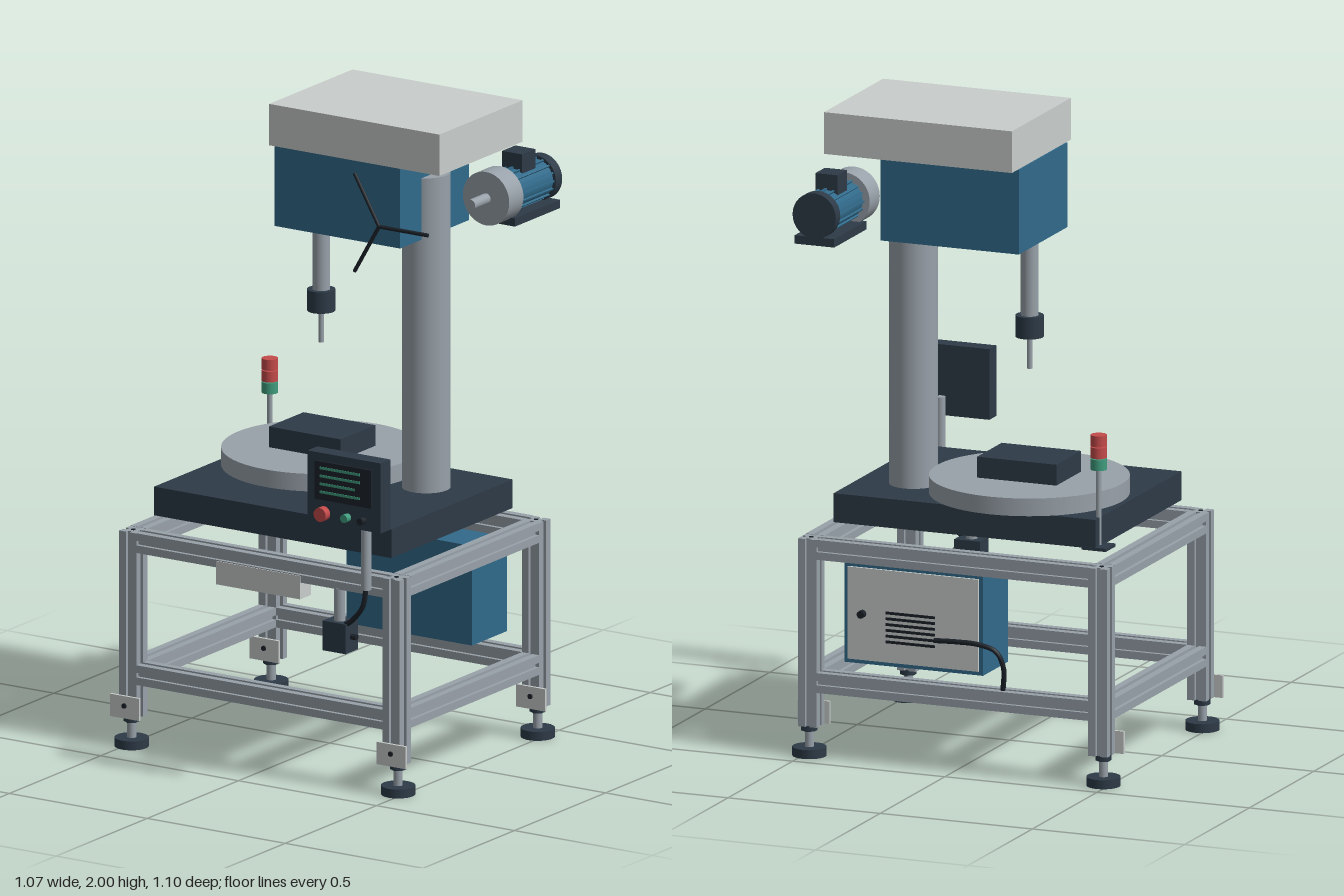
import * as THREE from 'three';

const paint = (name, color) => {
  const m = new THREE.MeshStandardMaterial({ color });
  m.name = name;
  return m;
};

export function createModel() {
  const root = new THREE.Group();
  root.name = 'drillingStation';
  const steel = paint('steel grey', 0x98a1a9);
  const light = paint('light grey', 0xc9cecc);
  const dark = paint('dark slate', 0x2d3a47);
  const blue = paint('machine blue', 0x316a8a);
  const black = paint('black', 0x1b2229);
  const red = paint('signal red', 0xc44a4a);
  const green = paint('signal green', 0x3f9c7c);

  const add = (name, geo, mat, x = 0, y = 0, z = 0, parent = root) => {
    const m = new THREE.Mesh(geo, mat);
    m.name = name;
    m.position.set(x, y, z);
    parent.add(m);
    return m;
  };
  // Box given by its limits on each axis
  const box = (name, mat, x0, x1, y0, y1, z0, z1, parent) =>
    add(name, new THREE.BoxGeometry(x1 - x0, y1 - y0, z1 - z0), mat,
      (x0 + x1) / 2, (y0 + y1) / 2, (z0 + z1) / 2, parent);
  // Upright cylinder from y0 to y1
  const post = (name, mat, x, z, r, y0, y1, seg = 32, parent) =>
    add(name, new THREE.CylinderGeometry(r, r, y1 - y0, seg), mat, x, (y0 + y1) / 2, z, parent);
  // Cylinder lying along z
  const axle = (name, mat, x, y, r, z0, z1, seg = 32, parent) => {
    const m = add(name, new THREE.CylinderGeometry(r, r, z1 - z0, seg), mat, x, y, (z0 + z1) / 2, parent);
    m.rotation.x = Math.PI / 2;
    return m;
  };
  const cable = (name, r, pts) => add(name, new THREE.TubeGeometry(
    new THREE.CatmullRomCurve3(pts.map(p => new THREE.Vector3(...p))), 32, r, 8), black);

  // Slotted square profile used for all frame members
  const h = 0.031, s = 0.007, d = 0.012;
  const section = new THREE.Shape();
  const side = [[-h, -h], [-s, -h], [-s, -h + d], [s, -h + d], [s, -h]];
  for (let k = 0; k < 4; k++) {
    const c = Math.round(Math.cos(k * Math.PI / 2)), n = Math.round(Math.sin(k * Math.PI / 2));
    side.forEach(([x, y], i) => {
      const px = x * c - y * n, py = x * n + y * c;
      if (k + i === 0) section.moveTo(px, py); else section.lineTo(px, py);
    });
  }
  section.closePath();
  const frame = new THREE.Group();
  frame.name = 'frame';
  root.add(frame);
  const beam = (name, axis, len, x, y, z) => {
    const g = new THREE.ExtrudeGeometry(section, { depth: len, bevelEnabled: false });
    g.translate(0, 0, -len / 2);
    if (axis === 'x') g.rotateY(Math.PI / 2);
    if (axis === 'y') g.rotateX(Math.PI / 2);
    return add(name, g, steel, x, y, z, frame);
  };
  const LX = 0.477, ZF = 0.355, ZB = -0.41, ZM = (ZF + ZB) / 2;
  for (const y of [0.65, 0.235]) {
    for (const z of [ZF, ZB]) beam('crossRail', 'x', 2 * (LX - h), 0, y, z);
    for (const x of [-LX, LX]) beam('sideRail', 'z', ZF - ZB - 2 * h, x, y, ZM);
  }
  // Legs with brackets, levelling stems and feet
  for (const x of [-LX, LX]) for (const z of [ZF, ZB]) {
    beam('leg', 'y', 0.585, x, 0.3875, z);
    post('legCapBolt', black, x, z, 0.007, 0.672, 0.682, 12, frame);
    const fx = x + Math.sign(x) * 0.006;
    box('footBracket', light, fx - 0.053, fx + 0.053, 0.095, 0.165, z + h, z + h + 0.009, frame);
    axle('bracketBolt', black, fx, 0.135, 0.008, z + h, z + h + 0.014, 12, frame);
    post('footStem', steel, fx, z, 0.014, 0.02, 0.1, 16, frame);
    post('footNut', dark, fx, z, 0.025, 0.078, 0.094, 6, frame);
    post('footPad', dark, fx, z, 0.052, 0, 0.028, 32, frame);
  }

  // Machine bed, rotary table and workpiece
  box('bed', dark, -0.435, 0.425, 0.72, 0.81, -0.36, 0.305);
  post('tablePivot', dark, -0.13, -0.152, 0.12, 0.81, 0.82);
  post('rotaryTable', steel, -0.13, -0.152, 0.304, 0.82, 0.875, 64);
  box('workBlock', dark, -0.26, 0, 0.875, 0.94, -0.25, -0.06);

  // Column and head
  post('column', steel, 0.252, -0.148, 0.074, 0.81, 1.8, 48);
  box('head', blue, -0.175, 0.28, 1.607, 1.87, -0.34, 0.038);
  box('headCover', light, -0.17, 0.447, 1.87, 2, -0.382, 0.075);
  post('quill', steel, -0.13, -0.15, 0.027, 1.37, 1.61);
  post('chuck', dark, -0.13, -0.15, 0.043, 1.305, 1.372, 24);
  post('drillBit', steel, -0.13, -0.15, 0.008, 1.205, 1.305, 12);

  // Three-spoke feed handle
  const handle = new THREE.Group();
  handle.name = 'feedHandle';
  handle.position.set(0.235, 1.68, 0.085);
  root.add(handle);
  for (let k = 0; k < 3; k++) {
    const a = k * Math.PI * 2 / 3;
    const spoke = add('spoke', new THREE.CylinderGeometry(0.006, 0.006, 0.178, 10), black,
      0.089 * Math.cos(a), 0.089 * Math.sin(a), 0, handle);
    spoke.rotation.z = a - Math.PI / 2;
  }

  // Drive motor, lying along z
  const motor = new THREE.Group();
  motor.name = 'motor';
  root.add(motor);
  const MX = 0.408, MY = 1.718;
  axle('motorShaft', steel, MX, MY, 0.017, -0.24, -0.155, 20, motor);
  axle('motorFlange', steel, MX, MY, 0.084, -0.318, -0.24, 40, motor);
  axle('motorBody', blue, MX, MY, 0.061, -0.52, -0.318, 32, motor);
  for (let k = 0; k < 16; k++) {
    const a = k * Math.PI / 8;
    const fin = add('coolingFin', new THREE.BoxGeometry(0.014, 0.006, 0.2), blue,
      MX + 0.06 * Math.cos(a), MY + 0.06 * Math.sin(a), -0.419, motor);
    fin.rotation.z = a;
  }
  axle('fanCover', dark, MX, MY, 0.071, -0.55, -0.515, 32, motor);
  box('terminalBox', dark, 0.37, 0.443, 1.765, 1.828, -0.458, -0.385, motor);
  box('motorBase', dark, 0.343, 0.473, 1.626, 1.652, -0.548, -0.3, motor);

  // Signal tower
  box('towerBracket', dark, -0.47, -0.39, 0.714, 0.724, -0.362, -0.287);
  post('towerPole', steel, -0.43, -0.322, 0.008, 0.72, 0.962, 12);
  [green, red, red].forEach((m, i) =>
    post('towerLamp', m, -0.43, -0.322, 0.025, 0.959 + i * 0.037, 0.993 + i * 0.037, 24));

  // Control panel on its pole
  post('panelPole', steel, 0.398, 0.402, 0.016, 0.64, 0.94, 24);
  const panel = new THREE.Group();
  panel.name = 'controlPanel';
  root.add(panel);
  box('panelHousing', dark, 0.265, 0.53, 0.865, 1.085, 0.468, 0.522, panel);
  box('panelScreen', black, 0.295, 0.5, 0.94, 1.06, 0.522, 0.53, panel);
  [0.46, 0.46, 0.44, 0.46].forEach((x1, i) => {
    const y = 1.04 - i * 0.025;
    box('screenLine', green, 0.315, x1, y - 0.004, y + 0.004, 0.53, 0.532, panel);
  });
  axle('stopButton', red, 0.325, 0.897, 0.022, 0.522, 0.547, 24, panel);
  axle('startButton', green, 0.41, 0.897, 0.013, 0.522, 0.544, 20, panel);
  axle('selectorKnob', black, 0.468, 0.897, 0.011, 0.522, 0.544, 20, panel);

  // Junction box hung under the front rail
  box('drawer', light, -0.155, 0.15, 0.567, 0.64, 0.33, 0.389);
  post('hangerPost', steel, 0.281, 0.37, 0.018, 0.515, 0.622, 24);
  box('junctionBox', dark, 0.24, 0.324, 0.425, 0.518, 0.335, 0.403);
  const plug = add('boxPlug', new THREE.CylinderGeometry(0.009, 0.009, 0.02, 12), black, 0.333, 0.473, 0.37);
  plug.rotation.z = Math.PI / 2;
  cable('panelCable', 0.008, [[0.31, 0.51, 0.385], [0.345, 0.535, 0.395], [0.385, 0.585, 0.4], [0.398, 0.65, 0.402]]);

  // Electrical cabinet at the back
  box('cabinet', blue, -0.095, 0.36, 0.307, 0.62, -0.428, -0.235);
  box('cabinetDoor', light, -0.082, 0.347, 0.32, 0.607, -0.436, -0.428);
  for (let i = 0; i < 6; i++) {
    const y = 0.385 + i * 0.018;
    box('ventSlot', black, 0.06, 0.22, y - 0.004, y + 0.004, -0.44, -0.436);
  }
  axle('doorKnob', black, 0.297, 0.465, 0.012, -0.455, -0.436, 16);
  cable('powerCable', 0.008, [[0.06, 0.405, -0.44], [-0.02, 0.41, -0.448], [-0.09, 0.408, -0.448],
    [-0.145, 0.39, -0.445], [-0.165, 0.34, -0.435], [-0.157, 0.262, -0.42]]);

  return root;
}
